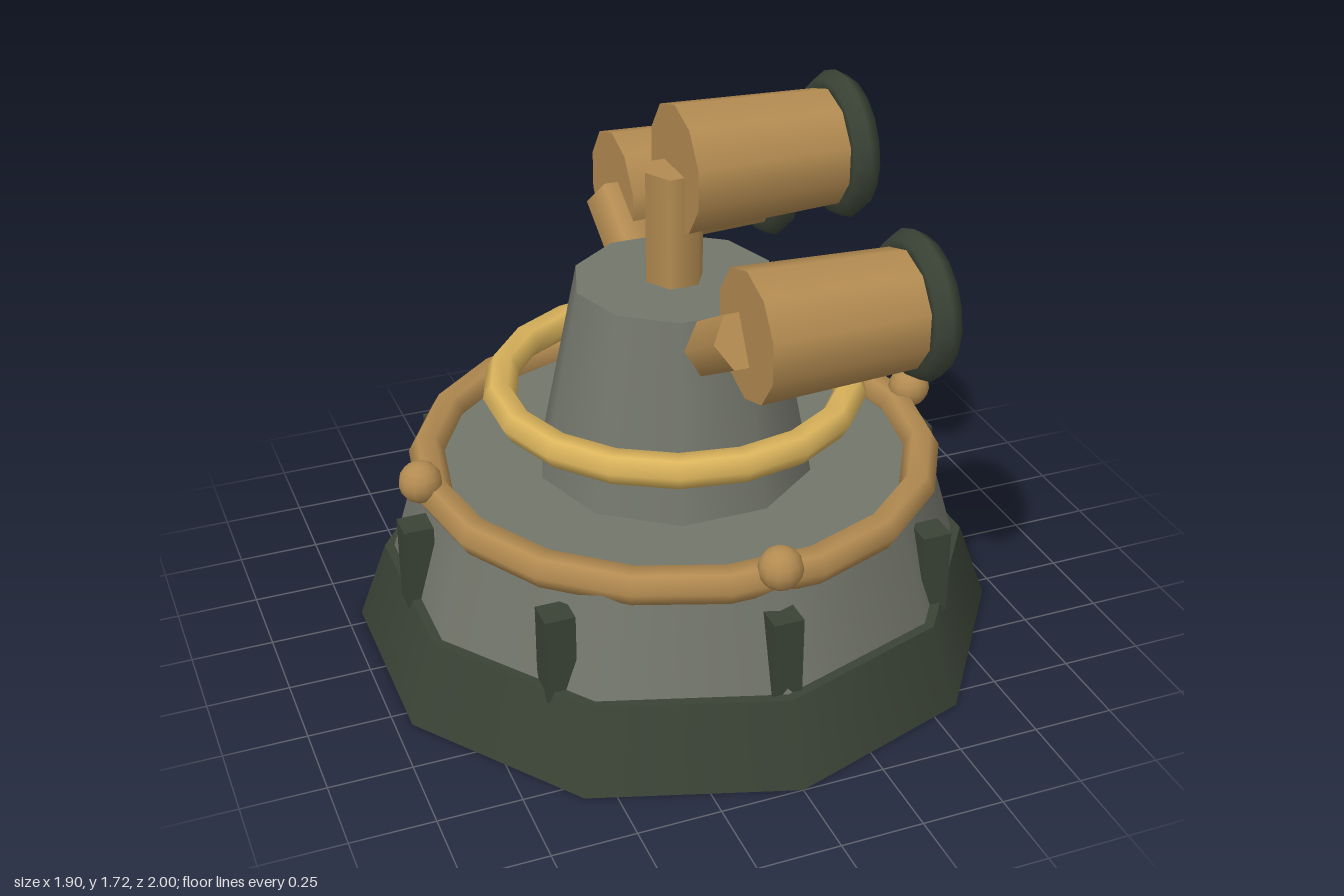
import * as THREE from 'three';

const material = (name, color) => {
  const m = new THREE.MeshStandardMaterial({ color });
  m.name = name;
  return m;
};

export function createModel() {
  const green = material('dark green', 0x3a4235);
  const grey = material('stone grey', 0x73766b);
  const bronze = material('bronze', 0xb38b51);
  const gold = material('gold', 0xdbb45c);

  const model = new THREE.Group();
  model.name = 'turret';

  const add = (parent, name, geometry, mat, x = 0, y = 0, z = 0) => {
    const mesh = new THREE.Mesh(geometry, mat);
    mesh.name = name;
    mesh.position.set(x, y, z);
    parent.add(mesh);
    return mesh;
  };

  // Tapered prism standing between two heights
  const prism = (rTop, rBottom, y0, y1, sides) =>
    new THREE.CylinderGeometry(rTop, rBottom, y1 - y0, sides).translate(0, (y0 + y1) / 2, 0);

  // Stepped ten-sided base
  add(model, 'foundation', prism(0.91, 1, 0, 0.25, 10), green);
  add(model, 'platform', prism(0.79, 0.88, 0.25, 0.56, 10), grey);

  // Eight buttress blocks, all square to the axes
  const block = new THREE.BoxGeometry(0.09, 0.27, 0.09);
  for (let i = 0; i < 8; i++) {
    const a = (i * Math.PI) / 4;
    add(model, 'buttress', block, green, 0.83 * Math.sin(a), 0.355, 0.83 * Math.cos(a));
  }

  // Bronze rail with four knobs
  add(model, 'rail', new THREE.TorusGeometry(0.763, 0.055, 6, 18).rotateX(Math.PI / 2), bronze, 0, 0.575, 0);
  const knob = new THREE.SphereGeometry(0.065, 12, 8);
  for (let i = 0; i < 4; i++) {
    const a = (i * Math.PI) / 2;
    add(model, 'railKnob', knob, bronze, 0.805 * Math.sin(a), 0.63, 0.805 * Math.cos(a));
  }

  // Tower and floating gold ring
  add(model, 'tower', prism(0.305, 0.43, 0.55, 1.16, 10).rotateY(Math.PI / 2), grey);
  add(model, 'goldRing',
    new THREE.TorusGeometry(0.532, 0.051, 6, 18).rotateX(Math.PI / 2).rotateY(Math.PI / 2), gold, 0, 0.81, 0);

  // Three lamps fanned out on arms, all pointing to +x
  const armGeometry = prism(0.09, 0.09, 0.15, 0.605, 6).rotateY(Math.PI / 2);
  const barrel = prism(0.175, 0.195, 0, 0.52, 10).rotateY(Math.PI / 2).rotateZ(-Math.PI / 2);
  const rim = new THREE.TorusGeometry(0.174, 0.047, 6, 18).rotateY(Math.PI / 2);
  const lens = new THREE.SphereGeometry(0.18, 18, 12).rotateZ(-Math.PI / 2).scale(0.42, 1, 1);
  for (const side of [-1, 0, 1]) {
    const tilt = (side * Math.PI) / 3;
    const arm = add(model, 'arm', armGeometry, bronze, 0, 0.9, 0);
    arm.rotation.x = tilt;

    const lamp = new THREE.Group();
    lamp.name = 'lamp';
    lamp.position.set(0, side ? 1.22 : 1.505, side * 0.535);
    add(lamp, 'barrel', barrel, bronze);
    add(lamp, 'rim', rim, green, 0.52);
    add(lamp, 'lens', lens, gold, 0.52);
    model.add(lamp);
  }

  return model;
}
